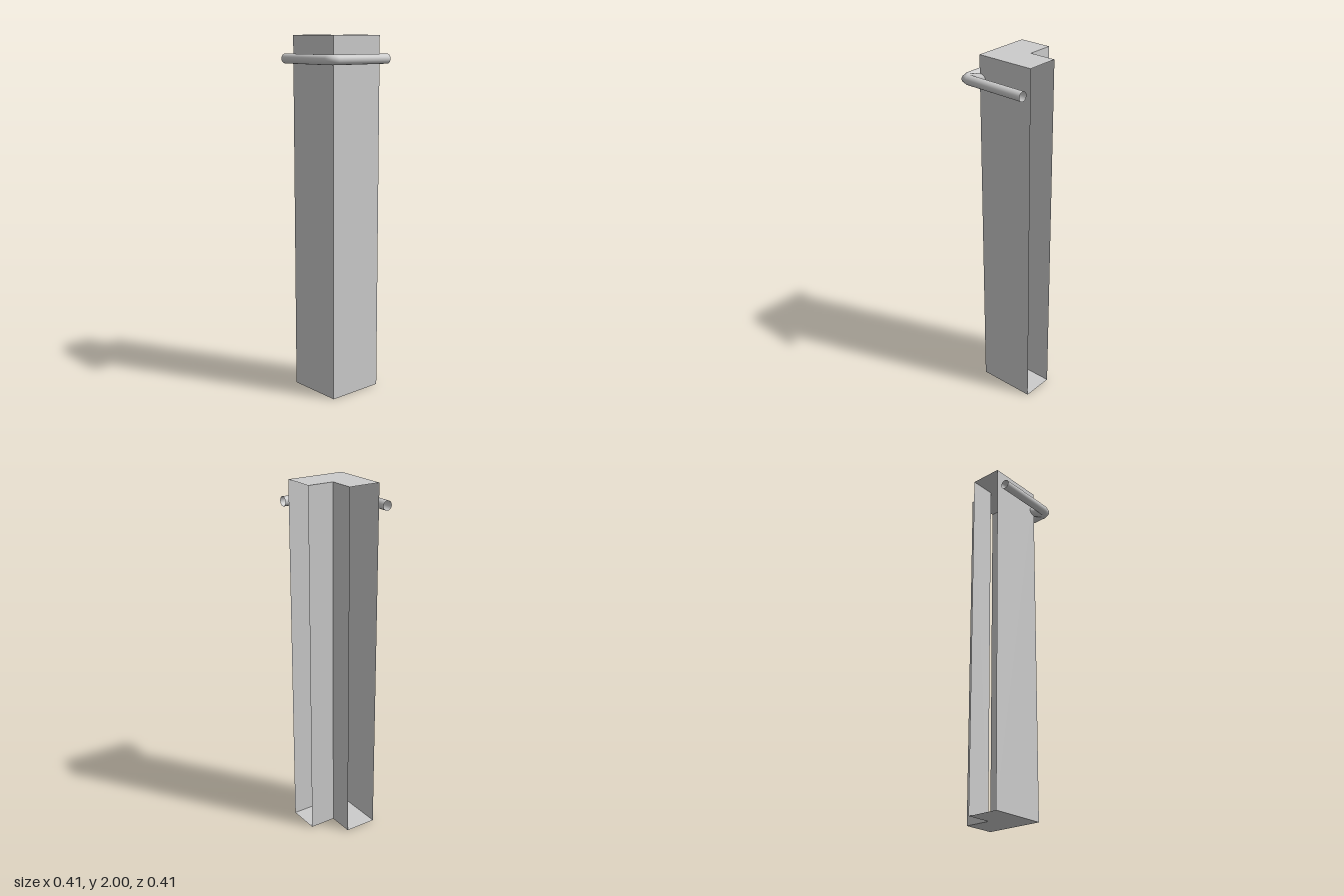
import * as THREE from 'three';
import { mergeVertices } from 'three/addons/utils/BufferGeometryUtils.js';

const material = new THREE.MeshStandardMaterial({ color: 0xcccccc, side: THREE.DoubleSide });

const HEIGHT = 2, RAIL_Y = 1.875, RAIL_R = 0.0265;

// L-shaped footprint as [x, z]; the two leg ends (edges 1 and 4) are open
const FOOTPRINT = [
  [-0.125, 0.123], [0.207, 0.123], [0.207, -0.06],
  [0.057, -0.06], [0.057, -0.207], [-0.125, -0.207],
];
const OPEN_EDGES = [1, 4];

function addMesh(parent, name, geometry) {
  const mesh = new THREE.Mesh(geometry, material);
  mesh.name = name;
  parent.add(mesh);
  return mesh;
}

// Open round pipe along a level path of [x, z] points, mitred at each bend
function pipe(path, radius, sides = 20) {
  const last = path.length - 1;
  const pts = path.map(([x, z]) => new THREE.Vector2(x, z));
  const dirs = pts.slice(1).map((p, i) => p.clone().sub(pts[i]).normalize());
  const rings = pts.map((p, i) => {
    const before = dirs[Math.max(i - 1, 0)], after = dirs[Math.min(i, last - 1)];
    const d = before.clone().add(after).normalize();
    return { p, side: new THREE.Vector2(-d.y, d.x).divideScalar(d.dot(after)) };
  });
  const raw = new THREE.CylinderGeometry(radius, radius, last, sides, last, true);
  raw.deleteAttribute('uv');
  raw.deleteAttribute('normal');
  const pos = raw.attributes.position;
  for (let i = 0; i < pos.count; i++) {
    const { p, side } = rings[Math.round(pos.getY(i) + last / 2)];
    const s = pos.getX(i), up = pos.getZ(i);
    pos.setXYZ(i, p.x + side.x * s, RAIL_Y + up, p.y + side.y * s);
  }
  const geometry = mergeVertices(raw);
  geometry.computeVertexNormals();
  return geometry;
}

export function createModel() {
  const model = new THREE.Group();
  model.name = 'cornerColumn';

  // Thin walls around the footprint
  const walls = new THREE.Group();
  walls.name = 'walls';
  FOOTPRINT.forEach(([x0, z0], i) => {
    if (OPEN_EDGES.includes(i)) return;
    const [x1, z1] = FOOTPRINT[(i + 1) % FOOTPRINT.length];
    const wall = addMesh(walls, 'wall',
      new THREE.PlaneGeometry(Math.hypot(x1 - x0, z1 - z0), HEIGHT));
    wall.position.set((x0 + x1) / 2, HEIGHT / 2, (z0 + z1) / 2);
    wall.rotation.y = Math.atan2(z0 - z1, x1 - x0);
  });
  model.add(walls);

  // Top cap and floor
  const outline = new THREE.Shape(FOOTPRINT.map(([x, z]) => new THREE.Vector2(x, -z)));
  const top = addMesh(model, 'topCap', new THREE.ShapeGeometry(outline).rotateX(-Math.PI / 2));
  top.position.y = HEIGHT;
  // The floor faces down: mirrored outline turned the other way
  const under = new THREE.Shape(FOOTPRINT.map(([x, z]) => new THREE.Vector2(x, z)));
  addMesh(model, 'floor', new THREE.ShapeGeometry(under).rotateX(Math.PI / 2));

  // Handrail wrapping the outer corner
  addMesh(model, 'handrail', pipe([
    [-0.181, -0.207], [-0.181, 0.142], [-0.171, 0.168], [-0.149, 0.177], [0.207, 0.181],
  ], RAIL_R));

  // Bracket from the rail bend through the column corner
  addMesh(model, 'railBracket', pipe([[-0.165, 0.164], [-0.076, 0.075]], RAIL_R));

  return model;
}
